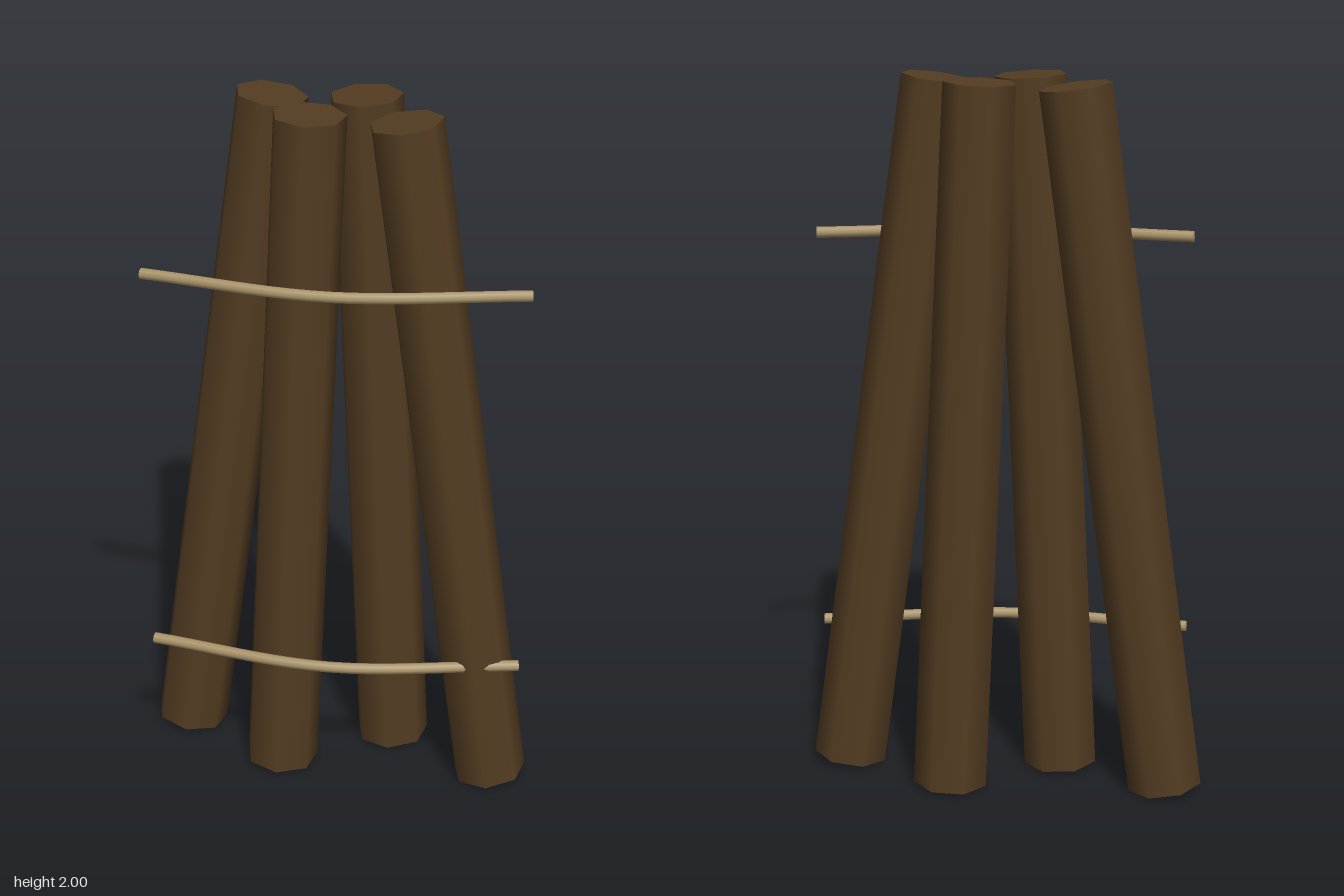
import * as THREE from 'three';

const bark = new THREE.MeshStandardMaterial({ color: 0x543d22 });
bark.name = 'darkBark';
const twine = new THREE.MeshStandardMaterial({ color: 0xa89268 });
twine.name = 'paleRope';

// Seven-sided log, slightly thinner at the top, leaning from bottom to top
function makeLog(name, xBottom, yBottom, xTop, yTop, z) {
  const bottom = new THREE.Vector3(xBottom, yBottom, z);
  const top = new THREE.Vector3(xTop, yTop, z);
  const axis = top.clone().sub(bottom);
  const log = new THREE.Mesh(new THREE.CylinderGeometry(0.1, 0.105, axis.length(), 7), bark);
  log.position.copy(bottom).add(top).multiplyScalar(0.5);
  log.rotation.z = -Math.atan2(axis.x, axis.y);
  log.name = name;
  return log;
}

// Rope bowing forward at the middle, with closed ends
function makeRope(name, y) {
  const radius = 0.016, sides = 8;
  const curve = new THREE.CatmullRomCurve3([
    new THREE.Vector3(-0.513, 0, 0.107),
    new THREE.Vector3(0.005, 0, 0.192),
    new THREE.Vector3(0.535, 0, 0.107),
  ]);
  const rope = new THREE.Group();
  rope.name = name;
  rope.position.y = y;
  const strand = new THREE.Mesh(new THREE.TubeGeometry(curve, 20, radius, sides), twine);
  strand.name = name + 'Strand';
  rope.add(strand);
  for (const t of [0, 1]) {
    const end = new THREE.Mesh(new THREE.CircleGeometry(radius, sides), twine);
    end.position.copy(curve.getPoint(t));
    const outward = curve.getTangent(t).multiplyScalar(t ? 1 : -1);
    end.quaternion.setFromUnitVectors(new THREE.Vector3(0, 0, 1), outward);
    end.name = name + (t ? 'LeftEnd' : 'RightEnd');
    rope.add(end);
  }
  return rope;
}

export function createModel() {
  const model = new THREE.Group();
  model.name = 'logBundle';
  const back = -0.12, front = 0.054;

  // Leaning logs, alternating between the back and front rows
  model.add(
    makeLog('outerRightLog', -0.457, 0.015, -0.192, 1.987, back),
    makeLog('innerRightLog', -0.155, 0.009, -0.064, 1.995, front),
    makeLog('innerLeftLog', 0.151, 0.009, 0.062, 1.995, back),
    makeLog('outerLeftLog', 0.457, 0.015, 0.19, 1.987, front),
  );

  // Upper and lower ropes
  model.add(makeRope('upperRope', 1.545), makeRope('lowerRope', 0.407));
  return model;
}
